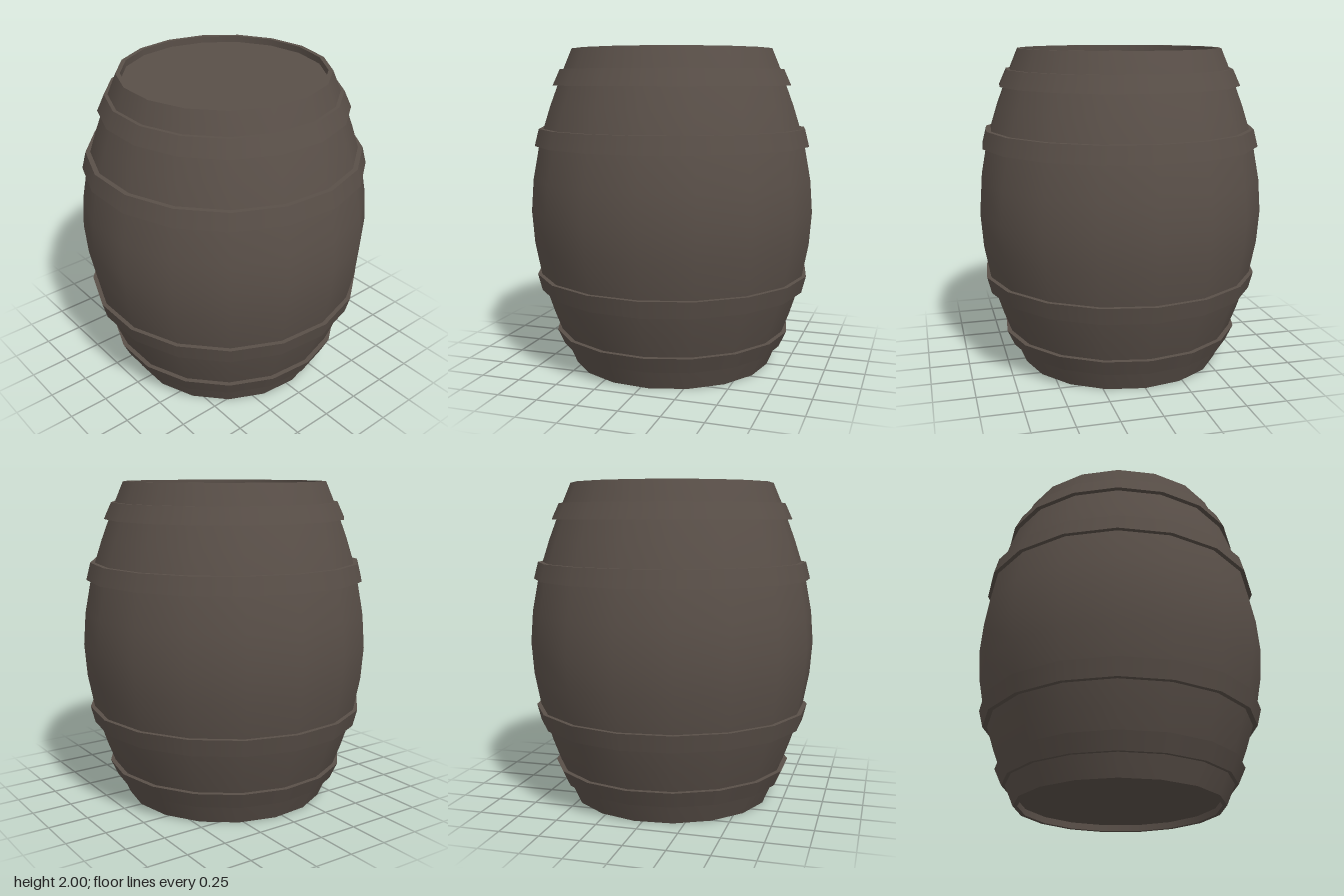
import * as THREE from 'three';

const SIDES = 17;

export function createModel() {
  const group = new THREE.Group();
  const wood = new THREE.MeshStandardMaterial({ color: 0x594f48 });
  wood.name = 'dark wood';

  // Revolve a profile; each call is smooth inside and sharp at its ends
  function revolve(name, points, parent) {
    const profile = points.map(([r, y]) => new THREE.Vector2(r, y));
    const mesh = new THREE.Mesh(new THREE.LatheGeometry(profile, SIDES, Math.PI / 2), wood);
    mesh.name = name;
    mesh.position.x = -0.008; // centres the odd-sided ring
    parent.add(mesh);
  }

  // Bulging staves
  const lower = [[0.637, 0], [0.69, 0.125], [0.728, 0.225], [0.775, 0.35], [0.82, 0.49], [0.85, 0.6], [0.888, 0.8]];
  const upper = lower.map(([r, y]) => [r, 2 - y]).reverse();
  revolve('staves', [...lower, [0.903, 1], ...upper], group);

  // Recessed ends, each with a rim and a short inner wall
  const rOut = 0.637, rIn = 0.61, depth = 0.04;
  revolve('topRim', [[rOut, 2], [rIn, 2]], group);
  revolve('topInnerWall', [[rIn, 2], [rIn, 2 - depth]], group);
  revolve('topLid', [[rIn, 2 - depth], [0, 2 - depth]], group);
  revolve('bottomRim', [[rIn, 0], [rOut, 0]], group);
  revolve('bottomInnerWall', [[rIn, depth], [rIn, 0]], group);
  revolve('bottomLid', [[0, depth], [rIn, depth]], group);

  // Four hoops: lower edge, outer face, upper edge
  function hoop(name, y0, r0, y1, r1) {
    const ring = new THREE.Group();
    ring.name = name;
    const inset = 0.05;
    revolve('hoopLowerEdge', [[r0 - inset, y0], [r0, y0]], ring);
    revolve('hoopFace', [[r0, y0], [r1, y1]], ring);
    revolve('hoopUpperEdge', [[r1, y1], [r1 - inset, y1]], ring);
    group.add(ring);
  }
  for (const [name, near, far, rNear, rFar] of [
    ['InnerHoop', 0.405, 0.51, 0.876, 0.849],
    ['OuterHoop', 0.775, 0.875, 0.758, 0.712],
  ]) {
    hoop('upper' + name, 1 + near, rNear, 1 + far, rFar);
    hoop('lower' + name, 1 - far, rFar, 1 - near, rNear);
  }
  return group;
}
